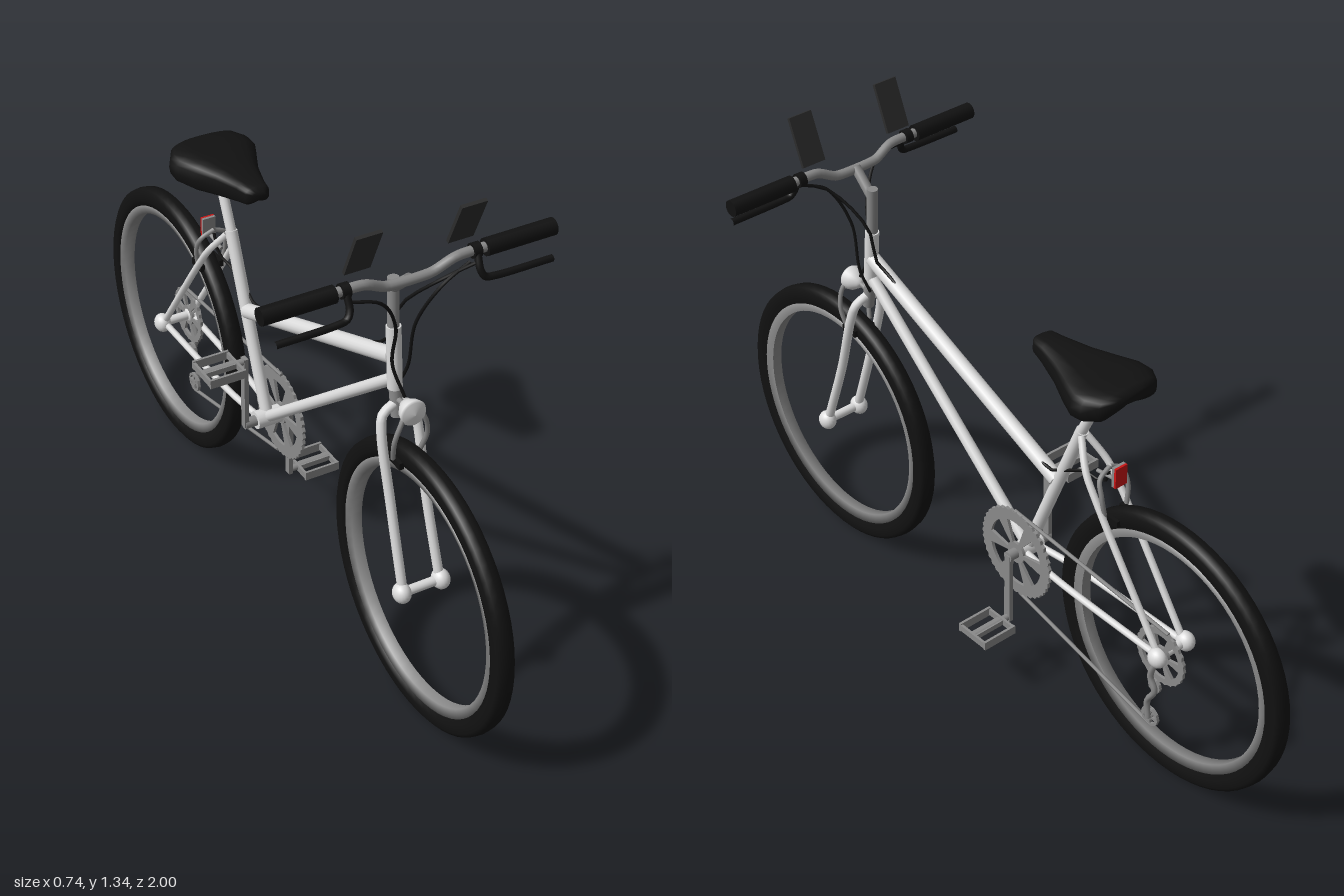
import * as THREE from 'three';

const mat = (name, color, side = THREE.FrontSide) => {
  const m = new THREE.MeshStandardMaterial({ color, side });
  m.name = name;
  return m;
};
const V = (p) => new THREE.Vector3(...p);
const mirror = (p, s) => [p[0] * s, p[1], p[2]];

export function createModel() {
  const bike = new THREE.Group();
  bike.name = 'bicycle';
  const paint = mat('silverPaint', 0xdcdcdc);
  const metal = mat('greyMetal', 0x8a8a8a);
  const black = mat('blackRubber', 0x111111);
  const glass = mat('mirrorDark', 0x2c2c2c);
  const red = mat('redReflector', 0xcc1414);

  const add = (name, geo, m, pos = [0, 0, 0], parent = bike) => {
    const mesh = new THREE.Mesh(geo, m);
    mesh.name = name;
    mesh.position.set(...pos);
    parent.add(mesh);
    return mesh;
  };
  // straight tube between two points
  const rod = (name, a, b, r, m, r2 = r, sides = 16) => {
    const d = V(b).sub(V(a));
    const mesh = add(name, new THREE.CylinderGeometry(r2, r, d.length(), sides), m);
    mesh.position.copy(V(a)).addScaledVector(d, 0.5);
    mesh.quaternion.setFromUnitVectors(new THREE.Vector3(0, 1, 0), d.normalize());
    return mesh;
  };
  // curved tube through points
  const pipe = (name, pts, r, m, sides = 8) =>
    add(name, new THREE.TubeGeometry(new THREE.CatmullRomCurve3(pts.map(V), false, 'centripetal'), 32, r, sides), m);
  const box = (name, size, pos, m) => add(name, new THREE.BoxGeometry(...size), m, pos);

  // Wheels: lathed tyre and rim rings turned onto the x axis
  const ring = (pts) =>
    new THREE.LatheGeometry(pts.map(([r, x]) => new THREE.Vector2(r, x)), 64).rotateZ(Math.PI / 2);
  const tyreGeo = ring([[0.315, -0.017], [0.335, -0.024], [0.355, -0.024], [0.365, -0.017], [0.368, 0],
    [0.365, 0.017], [0.355, 0.024], [0.335, 0.024], [0.315, 0.017], [0.315, -0.017]]);
  const rimGeo = ring([[0.297, -0.014], [0.32, -0.019], [0.32, 0.019], [0.297, 0.014], [0.297, -0.014]]);
  const front = [0, 0.37, 0.63], rear = [0, 0.37, -0.63], bb = [0, 0.37, -0.12];
  for (const [name, c, w] of [['front', front, 0.05], ['rear', rear, 0.043]]) {
    add(name + 'Tyre', tyreGeo, black, c);
    add(name + 'Rim', rimGeo, metal, c);
    rod(name + 'Axle', [-w, c[1], c[2]], [w, c[1], c[2]], 0.012, paint);
    for (const s of [-1, 1]) {
      const nut = add(name + 'AxleNut', new THREE.SphereGeometry(0.026, 20, 14), paint, [s * (w + 0.003), c[1], c[2]]);
      nut.scale.x = 0.85;
    }
  }

  // Frame
  const seatLug = [0, 0.83, -0.305];
  rod('topTube', [0, 0.93, 0.475], [0, 0.637, -0.22], 0.02, paint);
  rod('downTube', [0, 0.875, 0.485], bb, 0.015, paint);
  rod('seatTube', bb, seatLug, 0.016, paint);
  rod('seatPost', seatLug, [0, 0.97, -0.37], 0.013, paint);
  rod('bottomBracket', [-0.035, 0.37, -0.12], [0.035, 0.37, -0.12], 0.024, paint);
  rod('headTube', [0, 0.85, 0.487], [0, 1.01, 0.473], 0.018, paint);
  rod('lowerHeadset', [0, 0.78, 0.5], [0, 0.86, 0.486], 0.015, metal);
  for (const s of [-1, 1]) {
    pipe('seatStay', [[0.008, 0.82, -0.31], [0.035, 0.755, -0.357], [0.04, 0.7, -0.397], [0.041, 0.37, -0.63]]
      .map((p) => mirror(p, s)), 0.009, paint);
    pipe('chainStay', [[0.02, 0.37, -0.13], [0.034, 0.37, -0.26], [0.041, 0.37, -0.63]]
      .map((p) => mirror(p, s)), 0.009, paint);
    pipe('forkLeg', [[0, 0.815, 0.495], [0.038, 0.795, 0.5], [0.047, 0.76, 0.51], [0.047, 0.58, 0.56], [0.05, 0.37, 0.63]]
      .map((p) => mirror(p, s)), 0.012, paint, 12);
    // rim brakes
    pipe('frontBrakeArm', [[0.036, 0.7, 0.545], [0.043, 0.76, 0.562], [0.03, 0.81, 0.567], [0, 0.85, 0.55]]
      .map((p) => mirror(p, s)), 0.006, metal);
    pipe('rearBrakeArm', [[0.034, 0.66, -0.425], [0.042, 0.72, -0.42], [0.035, 0.76, -0.405], [0, 0.78, -0.4]]
      .map((p) => mirror(p, s)), 0.006, metal);
    box('frontBrakePad', [0.012, 0.018, 0.05], [s * 0.027, 0.69, 0.545], black);
    box('rearBrakePad', [0.012, 0.018, 0.05], [s * 0.027, 0.66, -0.44], black);
  }

  // Steering: stem, bar, grips, levers, mirrors
  rod('stemPost', [0, 0.99, 0.474], [0, 1.135, 0.466], 0.014, metal);
  rod('stemArm', [0, 1.11, 0.468], [0, 1.168, 0.53], 0.013, metal);
  pipe('handlebar', [[-0.2, 1.193, 0.535], [-0.13, 1.193, 0.535], [-0.11, 1.19, 0.535], [-0.065, 1.168, 0.53], [-0.05, 1.165, 0.53],
    [0.05, 1.165, 0.53], [0.065, 1.168, 0.53], [0.11, 1.19, 0.535], [0.13, 1.193, 0.535], [0.2, 1.193, 0.535]], 0.012, metal, 12);
  for (const s of [-1, 1]) {
    rod('grip', [s * 0.19, 1.192, 0.535], [s * 0.37, 1.192, 0.535], 0.021, black);
    rod('leverClamp', [s * 0.155, 1.193, 0.535], [s * 0.175, 1.193, 0.535], 0.018, black);
    pipe('brakeLever', [[0.165, 1.19, 0.545], [0.165, 1.155, 0.56], [0.175, 1.138, 0.565], [0.2, 1.134, 0.567], [0.35, 1.132, 0.567]]
      .map((p) => mirror(p, s)), 0.009, black);
    const glassPlate = box('mirror', [0.065, 0.125, 0.009], [s * 0.13, 1.286, 0.549], glass);
    glassPlate.rotation.x = 0.4;
  }

  // Control cables
  pipe('frontBrakeCable', [[-0.16, 1.17, 0.55], [-0.09, 1.15, 0.56], [-0.03, 1.05, 0.53], [-0.02, 0.93, 0.505], [0, 0.85, 0.53]], 0.004, black);
  pipe('rearBrakeCable', [[0.16, 1.17, 0.55], [0.09, 1.14, 0.53], [0.03, 1.04, 0.45], [0.022, 0.95, 0.43], [0.01, 0.925, 0.41],
    [0.01, 0.665, -0.2], [0.01, 0.685, -0.25], [0, 0.72, -0.32], [0, 0.72, -0.38], [0, 0.77, -0.4]], 0.004, black);
  pipe('gearCable', [[0.15, 1.17, 0.54], [0.08, 1.13, 0.54], [0.035, 1.03, 0.51], [0.03, 0.9, 0.49], [0.015, 0.84, 0.47]], 0.004, black);

  // Headlamp and rear reflector
  const lampGeo = new THREE.LatheGeometry([[0, -0.03], [0.014, -0.025], [0.028, -0.005], [0.033, 0.012], [0.03, 0.018], [0, 0.024]]
    .map((p) => new THREE.Vector2(...p)), 28).rotateX(Math.PI / 2);
  add('headlamp', lampGeo, paint, [0, 0.83, 0.555]);
  rod('headlampBracket', [0, 0.825, 0.5], [0, 0.83, 0.54], 0.007, metal);
  box('reflectorBack', [0.036, 0.055, 0.008], [0, 0.772, -0.43], metal);
  box('reflector', [0.036, 0.055, 0.006], [0, 0.772, -0.437], red);
  rod('reflectorBracket', [0, 0.755, -0.43], [0, 0.745, -0.36], 0.005, metal);

  // Saddle: lofted cross-sections [z, half width, top, bottom]
  const sections = [[-0.465, 0.06, 1.022, 0.985], [-0.45, 0.092, 1.03, 0.96], [-0.415, 0.113, 1.032, 0.948], [-0.38, 0.113, 1.032, 0.943],
    [-0.33, 0.09, 1.032, 0.943], [-0.27, 0.062, 1.032, 0.955], [-0.2, 0.04, 1.032, 0.972], [-0.165, 0.033, 1.031, 0.982], [-0.152, 0.02, 1.022, 0.995]];
  const N = 20, pos = [], idx = [];
  const soft = (v) => Math.sign(v) * Math.abs(v) ** 0.6;
  for (const [z, w, top, bot] of sections) {
    for (let i = 0; i < N; i++) {
      const a = (i / N) * Math.PI * 2, c = soft(Math.cos(a)), s = soft(Math.sin(a));
      const lift = s < 0 ? 0.3 * w * (1 - Math.abs(c)) : 0;
      pos.push(w * c, (top + bot) / 2 + s * (top - bot) / 2 + lift, z);
    }
  }
  const last = (sections.length - 1) * N;
  for (let k = 0; k < last; k += N) {
    for (let i = 0; i < N; i++) {
      const j = (i + 1) % N;
      idx.push(k + i, k + j, k + N + i, k + j, k + N + j, k + N + i);
    }
  }
  for (let i = 1; i < N - 1; i++) idx.push(0, i + 1, i, last, last + i, last + i + 1);
  const saddleGeo = new THREE.BufferGeometry();
  saddleGeo.setAttribute('position', new THREE.Float32BufferAttribute(pos, 3));
  saddleGeo.setIndex(idx);
  saddleGeo.computeVertexNormals();
  add('saddle', saddleGeo, black);

  // Toothed wheels with windows between spokes
  const sprocket = (name, c, R, inner, hub, spokes, teeth) => {
    const shape = new THREE.Shape();
    for (let i = 0; i < teeth * 2; i++) {
      const a = (i / teeth) * Math.PI, r = i % 2 ? R * 0.96 : R;
      shape[i ? 'lineTo' : 'moveTo'](r * Math.cos(a), r * Math.sin(a));
    }
    shape.closePath();
    for (let i = 0; i < spokes; i++) {
      const a = (i / spokes) * Math.PI * 2 + 0.2, b = a + (Math.PI * 2 / spokes) * 0.65;
      const hole = new THREE.Path();
      hole.absarc(0, 0, inner, a, b, false);
      hole.absarc(0, 0, hub, b, a, true);
      hole.closePath();
      shape.holes.push(hole);
    }
    const geo = new THREE.ExtrudeGeometry(shape, { depth: 0.008, bevelEnabled: false, curveSegments: 8 });
    add(name, geo.rotateY(Math.PI / 2), metal, c);
  };
  sprocket('chainring', [0.034, 0.37, -0.12], 0.127, 0.093, 0.03, 6, 40);
  sprocket('rearSprocket', [0.03, 0.37, -0.63], 0.08, 0.062, 0.028, 6, 24);
  sprocket('jockeyWheel', [0.03, 0.16, -0.605], 0.028, 0.02, 0.009, 4, 10);
  sprocket('upperJockeyWheel', [0.03, 0.265, -0.615], 0.02, 0.014, 0.007, 4, 10);

  // Chain and derailleur
  rod('upperChain', [0.036, 0.494, -0.11], [0.034, 0.448, -0.65], 0.005, metal, 0.005, 6);
  rod('lowerChain', [0.036, 0.245, -0.13], [0.034, 0.134, -0.605], 0.005, metal, 0.005, 6);
  pipe('derailleurArm', [[0.044, 0.36, -0.63], [0.046, 0.3, -0.61], [0.045, 0.26, -0.625], [0.042, 0.21, -0.6], [0.042, 0.16, -0.605]], 0.008, metal);

  // Cranks and hollow pedals
  rod('crankAxle', [-0.068, 0.37, -0.12], [0.068, 0.37, -0.12], 0.014, metal);
  for (const s of [-1, 1]) {
    const y = 0.37 - s * 0.195;
    box('crankArm', [0.012, 0.21, 0.02], [s * 0.064, 0.37 - s * 0.1, -0.12], metal);
    rod('pedalAxle', [s * 0.06, y, -0.12], [s * 0.185, y, -0.12], 0.009, metal);
    for (const e of [-1, 1]) {
      box('pedalRail', [0.1, 0.024, 0.007], [s * 0.135, y, -0.12 + e * 0.047], metal);
      box('pedalEnd', [0.007, 0.018, 0.1], [s * 0.135 + e * 0.047, y, -0.12], metal);
    }
    box('pedalCore', [0.09, 0.014, 0.02], [s * 0.135, y, -0.12], metal);
  }
  return bike;
}
